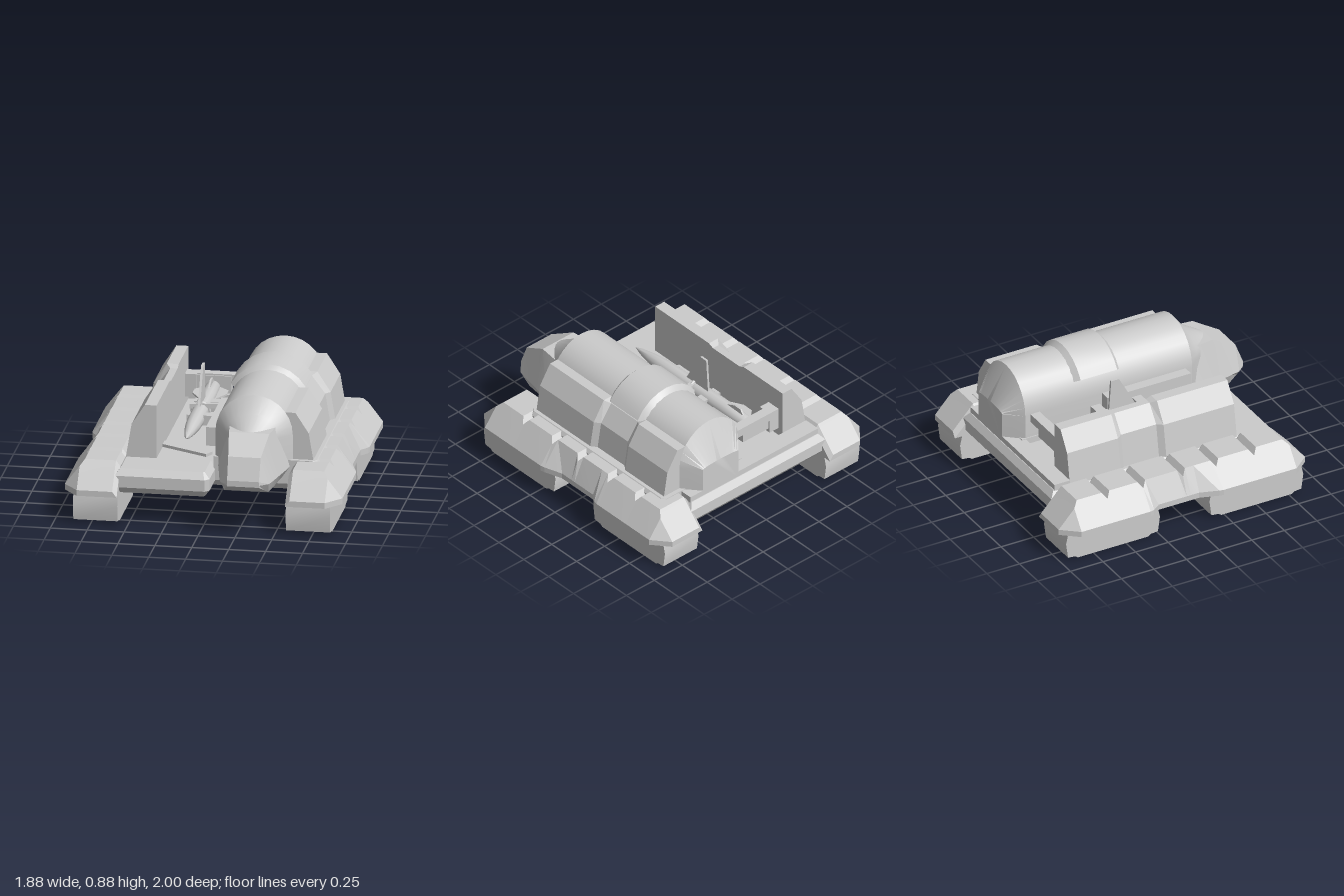
import * as THREE from 'three';
import { toCreasedNormals } from 'three/addons/utils/BufferGeometryUtils.js';

const grey = new THREE.MeshStandardMaterial({ color: 0xcccccc });
const thin = new THREE.MeshStandardMaterial({ color: 0xcccccc, side: THREE.DoubleSide });

function add(parent, name, geometry, crease = 0.5, material = grey) {
  const mesh = new THREE.Mesh(toCreasedNormals(geometry, crease), material);
  mesh.name = name;
  parent.add(mesh);
  return mesh;
}

// Box from its limits on each axis
function box(x0, x1, y0, y1, z0, z1) {
  return new THREE.BoxGeometry(x1 - x0, y1 - y0, z1 - z0)
    .translate((x0 + x1) / 2, (y0 + y1) / 2, (z0 + z1) / 2);
}

// Closed loft through convex sections; stations are [z, [[x, y], ...]] with z rising
function loft(stations) {
  const first = stations[Math.floor(stations.length / 2)][1].map(p => new THREE.Vector2(...p));
  const flip = THREE.ShapeUtils.area(first) < 0;
  const rings = stations.map(([z, pts]) => {
    const ring = pts.map(([x, y]) => [x, y, z]);
    return flip ? ring.reverse() : ring;
  });
  const out = [];
  const tri = (a, b, c) => out.push(...a, ...b, ...c);
  const n = rings[0].length;
  for (let s = 0; s < rings.length - 1; s++) {
    for (let i = 0; i < n; i++) {
      const j = (i + 1) % n, a = rings[s], b = rings[s + 1];
      tri(a[i], a[j], b[j]);
      tri(a[i], b[j], b[i]);
    }
  }
  const back = rings[0], front = rings[rings.length - 1];
  for (let i = 1; i < n - 1; i++) {
    tri(back[0], back[i + 1], back[i]);
    tri(front[0], front[i], front[i + 1]);
  }
  const g = new THREE.BufferGeometry();
  g.setAttribute('position', new THREE.Float32BufferAttribute(out, 3));
  g.computeVertexNormals();
  return g;
}

// Tread pod: side profile extruded across its width
function tread(zc, x0) {
  const pts = [[-0.36, 0.13], [-0.345, 0.02], [-0.29, 0.015], [-0.27, 0], [0.27, 0], [0.29, 0.015],
    [0.345, 0.02], [0.36, 0.13], [0.34, 0.22], [-0.34, 0.22]];
  const shape = new THREE.Shape(pts.map(([z, y]) => new THREE.Vector2(z, y)));
  return new THREE.ExtrudeGeometry(shape, { depth: 0.3, bevelEnabled: false })
    .rotateY(-Math.PI / 2).translate(x0 + 0.3, 0, zc);
}

// Fender: trapezoid section with V grooves and a pinched waist
function fender(side) {
  const waist = z => {
    if (z > 0.05) return 0.89 + 0.05 * Math.min(1, (z - 0.05) / 0.15);
    return z < -0.26 ? 0.89 + 0.05 * Math.min(1, (-0.26 - z) / 0.07) : 0.89;
  };
  const list = [[-1, 0.84, 0.24], [-0.88, 0.94, 0.37], [-0.845, 0.94, 0.41]];
  for (const g of [-0.625, -0.35, -0.045, 0.21, 0.5]) {
    for (const [dz, y] of [[-0.03, 0.41], [0, 0.37], [0.03, 0.41]]) list.push([g + dz, waist(g + dz), y]);
  }
  for (const z of [0.05, -0.26]) list.push([z, 0.89, 0.41]);
  list.push([0.73, 0.94, 0.41], [0.77, 0.94, 0.37], [0.89, 0.84, 0.24]);
  list.sort((a, b) => a[0] - b[0]);
  return loft(list.map(([z, xo, y]) => {
    const xt = y > 0.4 ? 0.81 : 0.84;
    return [z, [[xo, 0.2], [xo, 0.24], [xt, y], [0.6, y], [0.57, y - 0.04], [0.57, 0.2]]
      .map(([x, v]) => [side * x, v])];
  }));
}

// Armour wall with a recessed centre bay
function wall(place) {
  const steps = [[-0.76, 0], [-0.37, 0], [-0.33, 0.03], [-0.06, 0.03], [-0.02, 0], [0.52, 0]];
  return loft(steps.map(([z, d]) => [z, [[-0.57 + d, 0.36], [-0.53 + d, 0.6], [-0.44 + d, 0.74 - d * 0.6],
    [-0.36, 0.74 - d * 0.6], [-0.36, 0.36]].map(([x, y]) => [place(x), y])]));
}

// Arched section: straight legs under a half ellipse
function arch(w, h, n = 14) {
  const pts = [[0.3 - w, 0.36], [0.3 + w, 0.36]];
  for (let i = 0; i <= n; i++) {
    const t = Math.PI * i / n;
    pts.push([0.3 + w * Math.cos(t), 0.585 + h * Math.sin(t)]);
  }
  return pts;
}

// Part of a circle closed by its chord
function arcSection(r, n = 8) {
  return Array.from({ length: n + 1 }, (_, i) => {
    const t = Math.PI * (1 / 6 + (2 / 3) * i / n);
    return [0.3 + r * Math.cos(t), 0.587 + r * Math.sin(t)];
  });
}

// Thin fin from an outline of [span, z]
function fin(pts, t = 0.012) {
  const shape = new THREE.Shape(pts.map(([s, z]) => new THREE.Vector2(s, z)));
  return new THREE.ExtrudeGeometry(shape, { depth: t, bevelEnabled: false })
    .translate(0, 0, -t / 2).rotateX(Math.PI / 2);
}

export function createModel() {
  const root = new THREE.Group();
  root.name = 'trackedLauncher';

  // Hull plate with a notch for the cab
  const outline = [[-0.6, 0.8], [0.01, 0.8], [0.04, 0.77], [0.04, 0.54], [0.6, 0.54], [0.6, -0.92], [-0.6, -0.92]];
  const hull = new THREE.ExtrudeGeometry(new THREE.Shape(outline.map(([x, z]) => new THREE.Vector2(x, -z))),
    { depth: 0.08, bevelThickness: 0.045, bevelSize: 0.035, bevelOffset: -0.035, bevelSegments: 1 });
  add(root, 'hull', hull.rotateX(-Math.PI / 2).translate(0, 0.245, 0), 0.2);
  add(root, 'rearSill', box(-0.57, 0.57, 0.33, 0.41, -0.88, -0.76));

  // Running gear
  for (const side of [-1, 1]) {
    add(root, side > 0 ? 'leftFender' : 'rightFender', fender(side), 0.1);
    const x0 = side > 0 ? 0.57 : -0.87;
    add(root, 'frontTread', tread(0.5, x0));
    add(root, 'rearTread', tread(-0.6, x0));
  }

  // Armour walls and the plinth under the cabin
  add(root, 'rightWall', wall(x => x), 0.1);
  add(root, 'leftWall', wall(x => 0.14 - x), 0.1);
  add(root, 'plinth', loft([[-0.79, 0.72], [-0.76, 0.745], [0.52, 0.745], [0.55, 0.72]].map(([z, x]) =>
    [z, [[0.03, 0.3], [x, 0.3], [x, 0.39], [x - 0.02, 0.415], [0.03, 0.415]]])), 0.1);

  // Arched cabin body with sloped tail and tapered nose
  add(root, 'cabinBody', loft([[-0.88, arch(0.16, 0.015)], [-0.76, arch(0.262, 0.265)], [0.52, arch(0.262, 0.265)],
    [0.6, arch(0.19, 0.155)], [0.75, arch(0.09, 0.07)]]), 0.45);
  add(root, 'cabinBand', loft([[-0.37, arcSection(0.26)], [-0.33, arcSection(0.293)],
    [-0.05, arcSection(0.293)], [-0.02, arcSection(0.26)]]), 0.4);

  // Faceted cockpit: z, half widths and heights of top, middle and bottom
  const cab = [[0.52, 0.16, 0.66, 0.245, 0.37, 0.19, 0.29], [0.6, 0.155, 0.66, 0.235, 0.37, 0.18, 0.29],
    [0.75, 0.137, 0.66, 0.205, 0.37, 0.165, 0.29], [0.87, 0.12, 0.59, 0.182, 0.37, 0.15, 0.29],
    [0.94, 0.11, 0.55, 0.165, 0.37, 0.13, 0.327], [1, 0.108, 0.4, 0.11, 0.375, 0.108, 0.36]];
  add(root, 'cockpit', loft(cab.map(([z, wt, yt, wm, ym, wb, yb]) => [z,
    [[wb, yb], [wm, ym], [wt, yt], [-wt, yt], [-wm, ym], [-wb, yb]].map(([x, y]) => [0.305 + x, y])])), 0.15);

  // Missile lying along the deck
  const missile = new THREE.Group();
  missile.name = 'missile';
  missile.position.set(-0.165, 0.51, 0);
  root.add(missile);
  const profile = [[0, -0.64], [0.035, -0.64], [0.05, -0.6], [0.055, -0.4], [0.055, 0.12], [0.05, 0.24],
    [0.038, 0.34], [0.02, 0.44], [0, 0.5]].map(p => new THREE.Vector2(...p));
  add(missile, 'missileBody', new THREE.LatheGeometry(profile, 12).rotateX(Math.PI / 2), 0.7);
  const tail = [[0.03, -0.3], [0.115, -0.46], [0.115, -0.54], [0.03, -0.62]];
  for (let i = 0; i < 2; i++) add(missile, 'tailFin', fin(tail).rotateZ(Math.PI * i), 0.5, thin);
  add(missile, 'topTailFin', fin([[0.03, -0.38], [0.085, -0.5], [0.085, -0.56], [0.03, -0.6]])
    .rotateZ(Math.PI / 2), 0.5, thin);
  add(missile, 'uprightWing', fin([[0.03, -0.01], [0.3, -0.16], [0.3, -0.22], [0.03, -0.24]], 0.016)
    .rotateZ(Math.PI / 2), 0.5, thin);

  // Launch cradle
  const cradle = new THREE.Group();
  cradle.name = 'launchCradle';
  root.add(cradle);
  add(cradle, 'rearBeam', box(-0.36, 0.06, 0.53, 0.59, -0.72, -0.65));
  add(cradle, 'rearBlock', box(-0.36, -0.28, 0.43, 0.59, -0.72, -0.62));
  add(cradle, 'tailMount', box(-0.28, -0.05, 0.46, 0.58, -0.71, -0.64));
  add(cradle, 'sideRail', box(-0.035, 0.05, 0.46, 0.59, -0.17, 0.47));
  for (const z of [-0.245, 0.05]) add(cradle, 'clamp', box(-0.23, 0, 0.47, 0.54, z - 0.035, z + 0.035));
  add(cradle, 'releaseCollar', new THREE.TorusGeometry(0.058, 0.012, 6, 16).translate(-0.165, 0.51, -0.1));
  add(cradle, 'swingArm', box(-0.16, 0.16, -0.015, 0.015, -0.02, 0.02).rotateY(0.15).translate(-0.08, 0.55, -0.11));

  // Diagonal deck brace
  add(root, 'deckBrace', box(-0.2, 0.2, 0.36, 0.39, -0.035, 0.035).rotateY(-0.47).translate(-0.2, 0, 0.32));
  return root;
}
